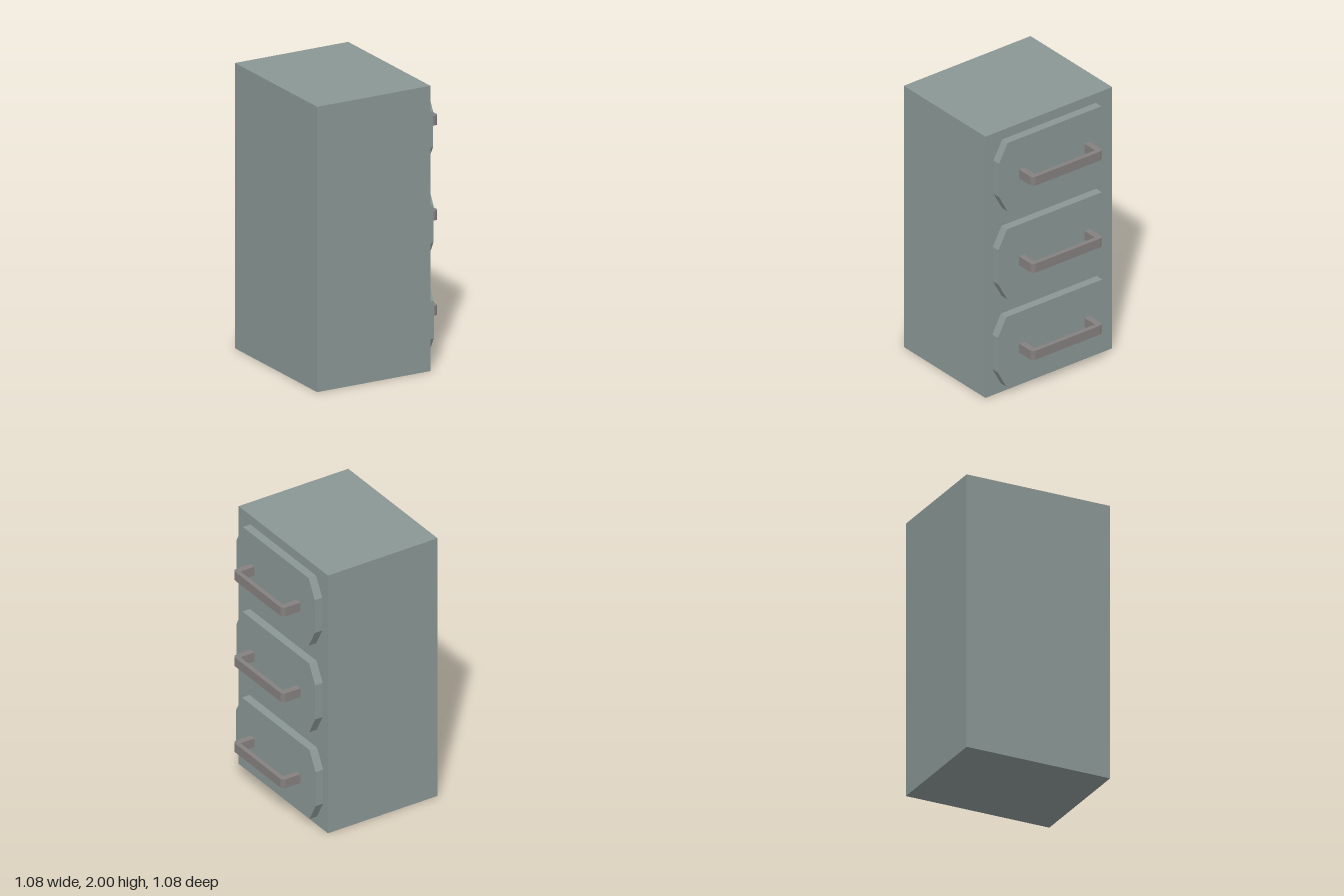
import * as THREE from 'three';

const bodyMaterial = new THREE.MeshStandardMaterial({ color: 0x8a9795 });
const handleMaterial = new THREE.MeshStandardMaterial({ color: 0x858080 });

const FRONT_X = 0.335; // cabinet face that carries the drawers
const PANEL_DEPTH = 0.06;

function addMesh(parent, name, geometry, material) {
  const mesh = new THREE.Mesh(geometry, material);
  mesh.name = name;
  parent.add(mesh);
  return mesh;
}

// Drawer front: a rectangle with clipped corners, extruded towards +x
function panelGeometry(halfWidth, halfHeight) {
  const w = halfWidth, h = halfHeight, cw = 0.073, ch = 0.135;
  const shape = new THREE.Shape([
    [-w + cw, -h], [w - cw, -h], [w, -h + ch], [w, h - ch],
    [w - cw, h], [-w + cw, h], [-w, h - ch], [-w, -h + ch],
  ].map(([x, y]) => new THREE.Vector2(x, y)));
  return new THREE.ExtrudeGeometry(shape, { depth: PANEL_DEPTH, bevelEnabled: false })
    .rotateY(Math.PI / 2);
}

// Bracket handle: a U outline with rounded outer corners, extruded upwards
function handleGeometry() {
  const reach = 0.145, half = 0.3, leg = 0.045, bar = 0.033, r = 0.03, height = 0.068;
  const shape = new THREE.Shape();
  shape.moveTo(0, -half);
  shape.lineTo(reach - r, -half);
  shape.absarc(reach - r, -half + r, r, -Math.PI / 2, 0, false);
  shape.lineTo(reach, half - r);
  shape.absarc(reach - r, half - r, r, 0, Math.PI / 2, false);
  shape.lineTo(0, half);
  shape.lineTo(0, half - leg);
  shape.lineTo(reach - bar, half - leg);
  shape.lineTo(reach - bar, -half + leg);
  shape.lineTo(0, -half + leg);
  shape.closePath();
  return new THREE.ExtrudeGeometry(shape, { depth: height, bevelEnabled: false, curveSegments: 4 })
    .translate(0, 0, -height / 2)
    .rotateX(-Math.PI / 2);
}

export function createModel() {
  const model = new THREE.Group();
  model.name = 'drawerCabinet';

  // Cabinet body
  const body = addMesh(model, 'cabinetBody', new THREE.BoxGeometry(0.875, 2, 1.076), bodyMaterial);
  body.position.set(FRONT_X - 0.4375, 1, 0);

  // Three drawers, bottom to top, each with a panel and a handle
  const drawers = [
    { name: 'bottomDrawer', y: 0.333, halfWidth: 0.48, halfHeight: 0.267, handleY: 0.325 },
    { name: 'middleDrawer', y: 1.003, halfWidth: 0.475, halfHeight: 0.267, handleY: 0.992 },
    { name: 'topDrawer', y: 1.667, halfWidth: 0.47, halfHeight: 0.262, handleY: 1.658 },
  ];
  for (const d of drawers) {
    const drawer = new THREE.Group();
    drawer.name = d.name;
    drawer.position.x = FRONT_X;
    model.add(drawer);
    addMesh(drawer, 'drawerPanel', panelGeometry(d.halfWidth, d.halfHeight), bodyMaterial).position.y = d.y;
    addMesh(drawer, 'drawerHandle', handleGeometry(), handleMaterial).position.set(PANEL_DEPTH, d.handleY, 0);
  }
  return model;
}
